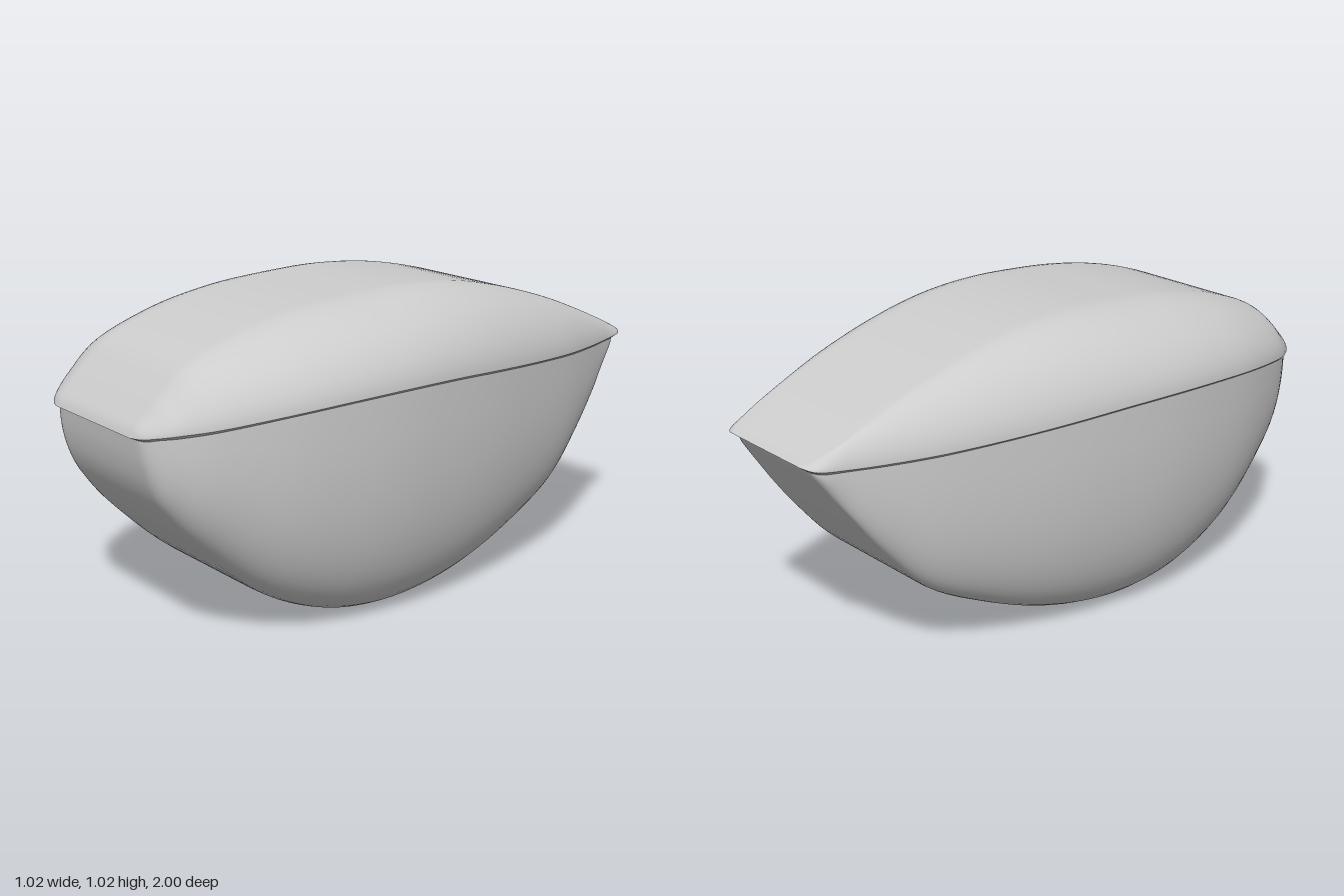
import * as THREE from 'three';

// Stations from front to back: [z, half width, rim height, crown or keel height]
const COVER = [
  [1, 0.22, 0.69, 0.69], [0.985, 0.265, 0.692, 0.718], [0.95, 0.31, 0.7, 0.755],
  [0.9, 0.35, 0.708, 0.805], [0.8, 0.41, 0.722, 0.885], [0.6, 0.475, 0.746, 0.955],
  [0.4, 0.505, 0.761, 0.995], [0.2, 0.512, 0.768, 1.013], [0, 0.497, 0.766, 1.02],
  [-0.2, 0.467, 0.756, 1.005], [-0.4, 0.422, 0.743, 0.965], [-0.6, 0.365, 0.731, 0.905],
  [-0.75, 0.31, 0.724, 0.847], [-0.88, 0.26, 0.722, 0.79], [-0.97, 0.23, 0.728, 0.75],
  [-1, 0.185, 0.737, 0.737],
];
const HULL = [
  [0.978, 0.22, 0.68, 0.68], [0.968, 0.26, 0.682, 0.6], [0.945, 0.295, 0.69, 0.52],
  [0.9, 0.34, 0.698, 0.44], [0.8, 0.4, 0.713, 0.32], [0.6, 0.465, 0.738, 0.14],
  [0.4, 0.495, 0.753, 0.04], [0.2, 0.503, 0.76, 0.003], [0, 0.488, 0.758, 0.013],
  [-0.2, 0.458, 0.748, 0.06], [-0.4, 0.412, 0.735, 0.14], [-0.6, 0.355, 0.722, 0.25],
  [-0.75, 0.3, 0.715, 0.41], [-0.87, 0.25, 0.712, 0.57], [-0.945, 0.22, 0.712, 0.675],
  [-0.97, 0.185, 0.715, 0.715],
];
const STEPS = 5;   // sections between stations
const ARC = 16;    // points round each shoulder
const FLAT = 6;    // points across the flat middle

// Catmull-Rom refinement of the station table
function refine(rows) {
  const out = [], last = rows.length - 1;
  for (let s = 0; s <= last * STEPS; s++) {
    const i = Math.min(Math.floor(s / STEPS), last - 1), t = s / STEPS - i;
    const p = [-1, 0, 1, 2].map((k) => rows[THREE.MathUtils.clamp(i + k, 0, last)]);
    out.push(p[1].map((b, c) => {
      const a = p[0][c], d = p[2][c], e = p[3][c];
      return b + 0.5 * t * (d - a + t * (2 * a - 5 * b + 4 * d - e + t * (3 * (b - d) + e - a)));
    }));
  }
  return out;
}

// Cross-section from rim to rim: flat middle with superelliptic shoulders
function section([z, w, rim, peak], power, dir) {
  const flat = Math.min(0.22, 0.85 * w), half = [];
  for (let k = 0; k < FLAT; k++) half.push([flat * k / FLAT, peak]);
  for (let k = 0; k <= ARC; k++) {
    const a = (k / ARC) * Math.PI / 2;
    const s = Math.sin(a) ** (2 / power);
    const c = Math.max(0, Math.cos(a)) ** (2 / power);
    half.push([flat + (w - flat) * s, rim + (peak - rim) * c]);
  }
  const mirrored = half.slice(1).reverse().map(([x, y]) => [-x, y]);
  return [...mirrored, ...half].map(([x, y]) => [dir * x, y, z]);
}

// Smooth surface through equal rows of points
function grid(rows) {
  const n = rows[0].length, index = [];
  for (let i = 0; i < rows.length - 1; i++) {
    for (let j = 0; j < n - 1; j++) {
      const a = i * n + j, d = a + n;
      index.push(a, a + 1, d, a + 1, d + 1, d);
    }
  }
  const g = new THREE.BufferGeometry();
  g.setAttribute('position', new THREE.Float32BufferAttribute(rows.flat(2), 3));
  g.setIndex(index);
  g.computeVertexNormals();
  return g;
}

// Closed outline of a shell along its rim
function rimLoop(rows) {
  const side = rows.map(([z, w, y]) => [w, y, z]);
  const other = side.map(([x, y, z]) => [-x, y, z]).reverse();
  return [...side, ...other, side[0]];
}

export function createModel() {
  const group = new THREE.Group();
  group.name = 'shell';
  const grey = new THREE.MeshStandardMaterial({ color: 0xcccccc, side: THREE.DoubleSide });
  grey.name = 'lightGrey';
  const add = (name, geometry) => {
    const mesh = new THREE.Mesh(geometry, grey);
    mesh.name = name;
    group.add(mesh);
  };

  const cover = refine(COVER), hull = refine(HULL);
  add('upperCover', grid(cover.map((r) => section(r, 1.75, 1))));
  add('lowerHull', grid(hull.map((r) => section(r, 2.5, -1))));
  // Narrow overhang joining the cover to the hull
  add('rimLip', grid([rimLoop(hull), rimLoop(cover)]));
  return group;
}
